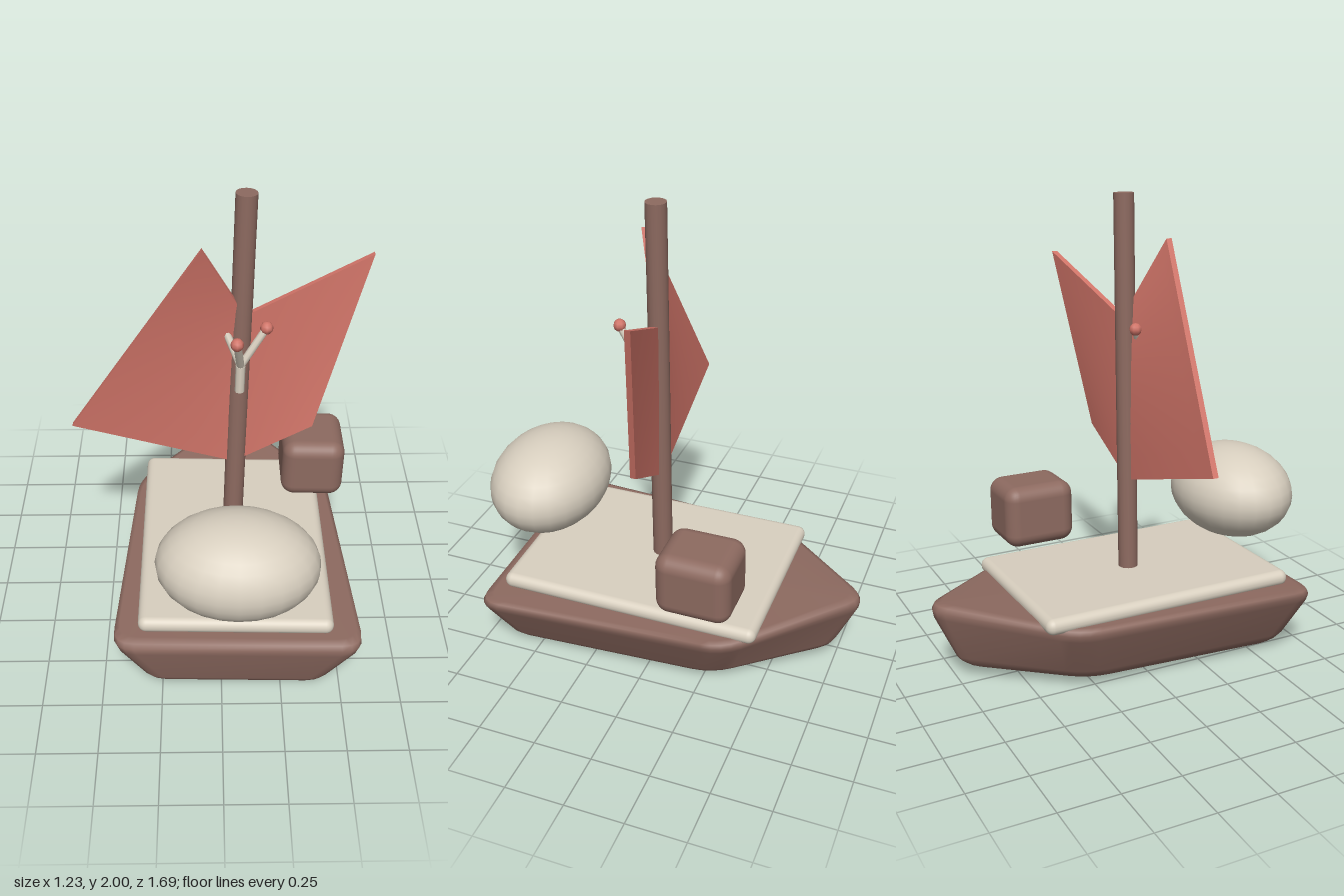
import * as THREE from 'three';
import { RoundedBoxGeometry } from 'three/addons/geometries/RoundedBoxGeometry.js';

const TILT = -0.028; // slight list of the whole boat

function material(name, color) {
  const m = new THREE.MeshStandardMaterial({ color });
  m.name = name;
  return m;
}

// Pointed hull lofted from rounded pentagon rings
function hullGeometry() {
  const bottom = [[0.37, 0.01, 0.65], [0.33, 0.025, -0.29], [0, 0.05, -0.76], [-0.33, 0.025, -0.29], [-0.37, 0.01, 0.65]];
  const top = [[0.54, 0.31, 0.735], [0.47, 0.315, -0.39], [0, 0.37, -0.9], [-0.47, 0.315, -0.39], [-0.54, 0.31, 0.735]];
  const levels = [[0, 0.9], [0.03, 0.96], [0.1, 0.99], [0.18, 1], [0.8, 1], [0.9, 0.99], [0.97, 0.965], [1, 0.92]];
  const steps = 4, round = 0.09, n = 5 * (steps + 1);
  const pos = [], index = [];
  for (const [t, s] of levels) {
    const c = bottom.map((b, i) => new THREE.Vector3(...b).lerp(new THREE.Vector3(...top[i]), t)
      .multiply(new THREE.Vector3(s, 1, s)));
    c.forEach((p, i) => {
      const toward = (q) => p.clone().add(q.clone().sub(p).setLength(round));
      const curve = new THREE.QuadraticBezierCurve3(toward(c[(i + 4) % 5]), p, toward(c[(i + 1) % 5]));
      for (const q of curve.getPoints(steps)) pos.push(q.x, q.y, q.z);
    });
  }
  for (let l = 0; l < levels.length - 1; l++) {
    for (let i = 0; i < n; i++) {
      const a = l * n + i, b = l * n + (i + 1) % n;
      index.push(a, b, b + n, a, b + n, a + n);
    }
  }
  // Bottom and deck caps
  const last = (levels.length - 1) * n, lo = levels.length * n, hi = lo + 1;
  pos.push(0, 0.025, -0.29, 0, 0.315, -0.39);
  for (let i = 0; i < n; i++) {
    const j = (i + 1) % n;
    index.push(lo, j, i, hi, last + i, last + j);
  }
  const g = new THREE.BufferGeometry();
  g.setAttribute('position', new THREE.Float32BufferAttribute(pos, 3));
  g.setIndex(index);
  g.computeVertexNormals();
  return g;
}

// Thin sail stretched between four corners
function sailGeometry(lowLeft, lowRight, highLeft, highRight) {
  const g = new THREE.BoxGeometry(1, 1, 0.024, 8, 8, 1);
  const [a, b, c, d] = [lowLeft, lowRight, highLeft, highRight].map((p) => new THREE.Vector3(...p));
  const p = g.attributes.position;
  for (let i = 0; i < p.count; i++) {
    const u = p.getX(i) + 0.5, v = p.getY(i) + 0.5;
    const q = a.clone().lerp(b, u).lerp(c.clone().lerp(d, u), v);
    p.setXYZ(i, q.x, q.y, q.z + p.getZ(i));
  }
  g.computeVertexNormals();
  return g;
}

export function createModel() {
  const wood = material('brown wood', 0x8d6a60);
  const cream = material('cream', 0xd8cfbf);
  const red = material('coral red', 0xd07468);
  const model = new THREE.Group();
  model.name = 'sailingBoat';

  function add(name, geometry, mat, x = 0, y = 0, z = 0, tilt = 0) {
    const mesh = new THREE.Mesh(geometry, mat);
    mesh.name = name;
    mesh.position.set(x, y, z);
    mesh.rotation.z = tilt;
    model.add(mesh);
    return mesh;
  }

  // Straight rod between two points
  function rod(name, from, to, radius, mat, sides) {
    const a = new THREE.Vector3(...from), b = new THREE.Vector3(...to);
    const dir = b.clone().sub(a);
    const mid = a.clone().add(b).multiplyScalar(0.5);
    const mesh = add(name, new THREE.CylinderGeometry(radius, radius, dir.length(), sides), mat, mid.x, mid.y, mid.z);
    mesh.quaternion.setFromUnitVectors(new THREE.Vector3(0, 1, 0), dir.normalize());
  }

  // Hull and deck
  add('hull', hullGeometry(), wood, 0.06, 0, 0, TILT);
  add('deck', new RoundedBoxGeometry(0.81, 0.07, 1.145, 4, 0.034), cream, 0.06, 0.333, 0.078, TILT);

  // Mast and sails
  rod('mast', [0.055, 0.35, 0.06], [0.101, 1.999, 0.06], 0.043, wood, 16);
  const foot = [0.06, 0.77, 0.068], throat = [0.1, 1.48, 0.062];
  add('rightSail', sailGeometry([-0.615, 0.98, 0.097], foot, [-0.07, 1.825, 0.18], throat), red);
  add('leftSail', sailGeometry(foot, [0.39, 0.94, 0.055], throat, [0.612, 1.7, -0.032]), red);

  // Floating egg and crate
  const egg = add('egg', new THREE.SphereGeometry(1, 24, 16), cream, 0.066, 0.645, 0.592, TILT);
  egg.scale.set(0.333, 0.21, 0.255);
  add('crate', new RoundedBoxGeometry(0.28, 0.28, 0.322, 4, 0.06), wood, 0.425, 0.567, -0.25, TILT);

  // Forked twig with berries
  const fork = [0.082, 1.29, 0.142];
  rod('twigStem', [0.079, 1.17, 0.142], fork, 0.02, cream, 8);
  for (const tip of [[0.185, 1.445, 0.108], [0.065, 1.445, 0.238], [0.01, 1.445, 0.07]]) {
    rod('twigBranch', fork, tip, 0.016, cream, 8);
    add('berry', new THREE.SphereGeometry(0.027, 8, 6), red, ...tip);
  }
  return model;
}
